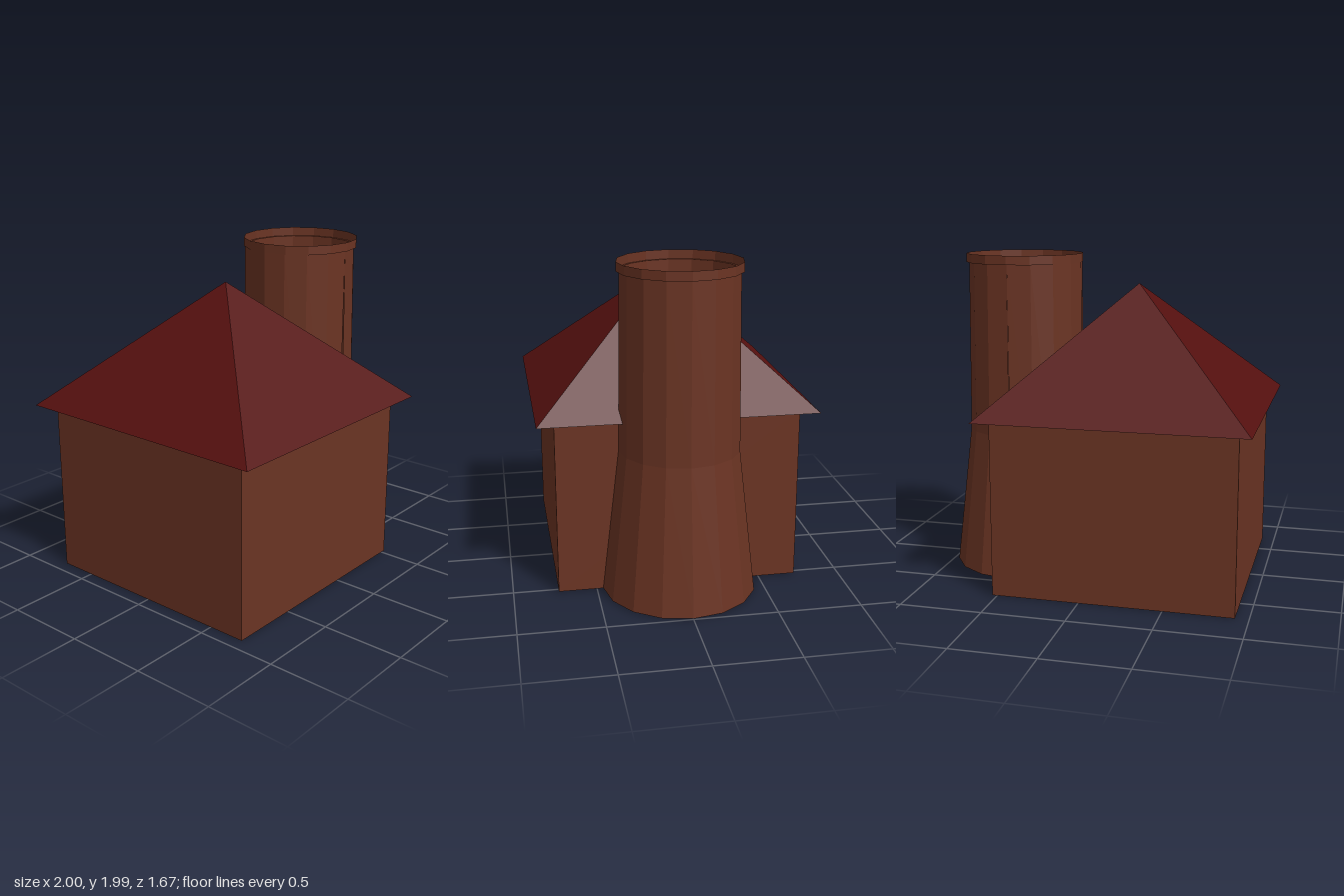
import * as THREE from 'three';

const material = (color) =>
  new THREE.MeshStandardMaterial({ color, flatShading: true, side: THREE.DoubleSide });

export function createModel() {
  const group = new THREE.Group();
  const brick = material(0x6b3423);
  const tile = material(0x55100f);

  const add = (name, geometry, mat, x, y = 0) => {
    const mesh = new THREE.Mesh(geometry, mat);
    mesh.name = name;
    mesh.position.set(x, y, 0);
    group.add(mesh);
    return mesh;
  };

  // Four-sided open shells with unit footprint, scaled to size
  const r = Math.SQRT1_2;
  const square = (top, w, h, d) =>
    new THREE.CylinderGeometry(top, r, 1, 4, 1, true)
      .rotateY(Math.PI / 4)
      .translate(0, 0.5, 0)
      .scale(w, h, d);

  add('houseWalls', square(r, 1.45, 1.065, 1.46), brick, -0.195);
  add('roof', square(0, 1.61, 0.745, 1.67), tile, -0.195, 1.065);

  // Hollow sixteen-sided chimney on the model's left wall
  const lathe = (points, segments, start, length) =>
    new THREE.LatheGeometry(points.map(([x, y]) => new THREE.Vector2(x, y)), segments, start, length);
  const chimneyX = 0.537;

  // Outer half flares out to the ground
  add('chimneyOuterHalf',
    lathe([[0.463, 0.005], [0.36, 0.88], [0.347, 1.93]], 8, 0, Math.PI), brick, chimneyX);

  // Inner half stands straight and rises through the roof
  add('chimneyInnerHalf',
    lathe([[0.347, 0.53], [0.347, 1.93]], 8, Math.PI, Math.PI).scale(1.045, 1, 1), brick, chimneyX);

  // Thin rim stepping out around the top
  add('chimneyRim',
    lathe([[0.347, 1.93], [0.363, 1.93], [0.363, 1.985]], 16, 0, Math.PI * 2), brick, chimneyX);

  return group;
}
